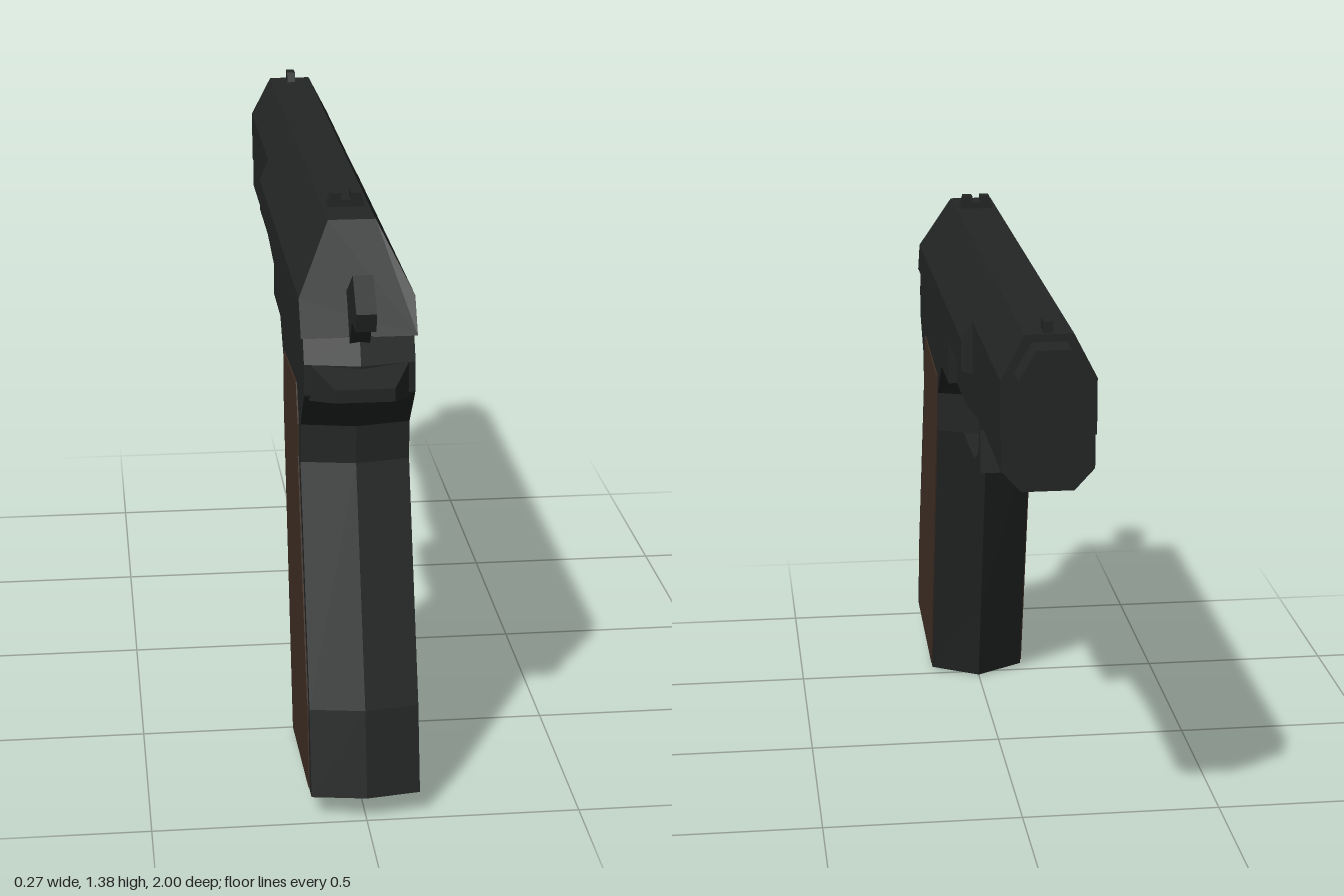
import * as THREE from 'three';

const gunmetal = new THREE.MeshStandardMaterial({ color: 0x242626 });
gunmetal.name = 'gunmetal';
const wood = new THREE.MeshStandardMaterial({ color: 0x402f25 });
wood.name = 'wood';

// Flat-shaded solid through rings of [x, y, z] points, capped at both ends
function loft(rings) {
  const tris = [];
  const n = rings[0].length;
  for (let r = 0; r < rings.length - 1; r++) {
    for (let i = 0; i < n; i++) {
      const j = (i + 1) % n;
      const [a, b, c, d] = [rings[r][i], rings[r][j], rings[r + 1][j], rings[r + 1][i]];
      tris.push([a, b, c], [a, c, d]);
    }
  }
  const last = rings[rings.length - 1];
  for (let i = 1; i < n - 1; i++) {
    tris.push([rings[0][0], rings[0][i + 1], rings[0][i]], [last[0], last[i], last[i + 1]]);
  }
  // turn the faces outward
  let volume = 0;
  for (const [a, b, c] of tris) {
    volume += new THREE.Vector3(...a).dot(new THREE.Vector3(...b).cross(new THREE.Vector3(...c)));
  }
  if (volume < 0) tris.forEach((t) => t.reverse());
  const geometry = new THREE.BufferGeometry();
  geometry.setAttribute('position', new THREE.Float32BufferAttribute(tris.flat(2), 3));
  geometry.computeVertexNormals();
  return geometry;
}

// Side outline of [z, y] points, extruded across x
function sideProfile(points, width) {
  const shape = new THREE.Shape(points.map(([z, y]) => new THREE.Vector2(z, y)));
  const geometry = new THREE.ExtrudeGeometry(shape, { depth: width, bevelEnabled: false });
  return geometry.translate(0, 0, -width / 2).rotateY(-Math.PI / 2);
}

// Mirror half a section of [x, y, z] points into a closed ring
const mirrored = (half) => [...half, ...half.map(([x, y, z]) => [-x, y, z]).reverse()];

export function createModel() {
  const group = new THREE.Group();
  const add = (name, geometry, material = gunmetal) => {
    const mesh = new THREE.Mesh(geometry, material);
    mesh.name = name;
    group.add(mesh);
    return mesh;
  };

  // Slide: slanted rear, tapered top, narrower towards the muzzle
  const slideRing = (w, shoulder, z0, z1 = z0, z2 = z0) =>
    mirrored([[w, 1.12, z0], [w, shoulder, z1], [0.055, 1.352, z2]]);
  add('slide', loft([
    slideRing(0.133, 1.2, 0.805, 0.755, 0.645),
    slideRing(0.133, 1.2, -0.34),
    slideRing(0.108, 1.25, -0.37),
    slideRing(0.108, 1.25, -0.925),
  ]));

  // Grip and rear frame: ridged front and back straps
  // rows: back z, back y, front z, front y, front bevel
  const rows = [
    [1.0, 0.06, 0.473, 0.003, 0.06],
    [0.955, 0.262, 0.418, 0.21, 0.06],
    [0.751, 0.797, 0.265, 0.78, 0.05],
    [0.751, 0.888, 0.26, 0.888, 0.05],
    [0.837, 0.984, 0.174, 0.99, 0.03],
    [0.84, 0.99, 0.02, 0.992, 0],
    [0.84, 1.062, 0.02, 1.062, 0],
    [0.81, 1.122, 0.02, 1.122, 0],
  ];
  add('gripFrame', loft(rows.map(([zb, yb, zf, yf, bevel]) => {
    const w = 0.127;
    const at = (x, z) => [x, yf + (yb - yf) * (z - zf) / (zb - zf), z];
    return [at(0, zb), at(w, zb - 0.025), at(w, zf + bevel),
      at(0, zf), at(-w, zf + bevel), at(-w, zb - 0.025)];
  })));

  // Tail above the web of the hand
  const tailRing = (w, y0, y1, z) => mirrored([[w, y0, z], [w, y1, z]]);
  add('tail', loft([tailRing(0.115, 0.975, 1.064, 0.81), tailRing(0.068, 1.003, 1.034, 0.917)]));

  // Dust cover under the slide, chamfered towards the front
  const coverRing = (z, y, w) => mirrored([[0.106, 1.122, z], [0.106, y, z], [w, 0.99, z]]);
  add('dustCover', loft([
    coverRing(0.03, 0.995, 0.1), coverRing(-0.2, 0.995, 0.1),
    coverRing(-0.5, 1.04, 0.06), coverRing(-0.917, 1.04, 0.06),
  ]));

  // Wooden grip panels
  const panel = [[0.644, 0.963], [0.318, 0.936], [0.323, 0.79], [0.535, 0.02],
    [0.933, 0.06], [0.9, 0.257], [0.687, 0.797], [0.687, 0.877]];
  for (const side of [1, -1]) {
    const mesh = add(side > 0 ? 'leftGripPanel' : 'rightGripPanel', sideProfile(panel, 0.006), wood);
    mesh.position.x = side * 0.127;
  }

  // Hexagonal barrel
  const barrel = new THREE.CylinderGeometry(0.078, 0.078, 0.12, 6).toNonIndexed();
  barrel.rotateY(Math.PI / 2).rotateX(-Math.PI / 2);
  barrel.computeVertexNormals();
  add('barrel', barrel).position.set(0, 1.267, -0.94);

  // Trigger guard
  add('triggerGuard', sideProfile([
    [0.3, 0.78], [0.03, 0.785], [-0.055, 0.822], [-0.09, 0.9], [-0.055, 1.0],
    [-0.12, 1.0], [-0.105, 0.9], [-0.12, 0.79], [0.03, 0.768], [0.3, 0.764],
  ], 0.12));

  // Hammer
  add('hammer', sideProfile([
    [0.938, 1.214], [0.864, 1.283], [0.757, 1.219], [0.7, 1.2], [0.76, 1.09],
    [0.81, 1.105], [0.853, 1.171], [0.927, 1.171],
  ], 0.046));

  // Sights
  add('frontSight', sideProfile([[-0.858, 1.345], [-0.872, 1.378], [-0.912, 1.378], [-0.912, 1.345]], 0.022));
  const notch = [[-0.046, 1.345], [0.046, 1.345], [0.035, 1.385], [0.011, 1.385],
    [0.011, 1.368], [-0.011, 1.368], [-0.011, 1.385], [-0.035, 1.385]];
  const rearSight = new THREE.ExtrudeGeometry(
    new THREE.Shape(notch.map(([x, y]) => new THREE.Vector2(x, y))),
    { depth: 0.038, bevelEnabled: false });
  add('rearSight', rearSight).position.z = 0.494;

  return group;
}
